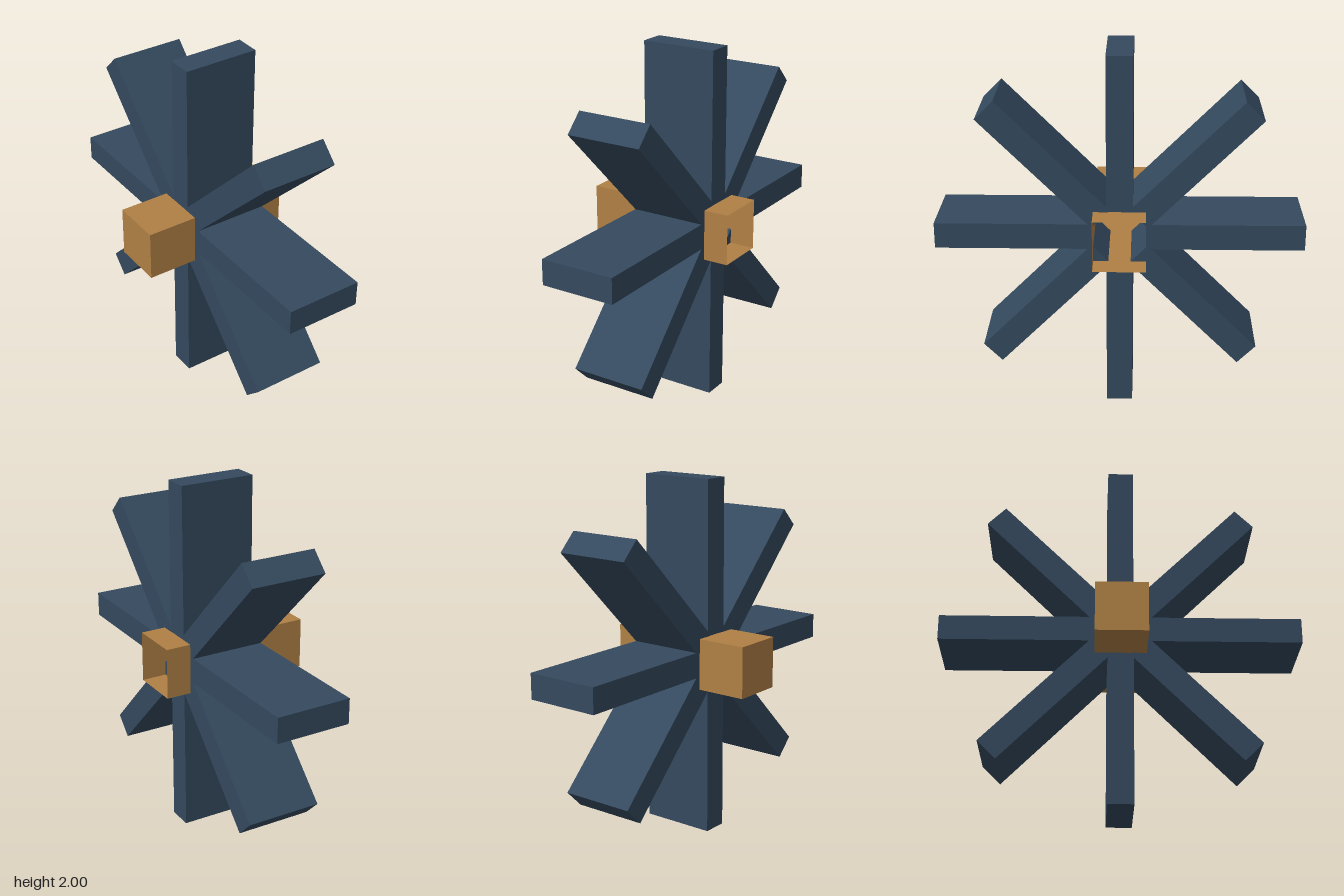
import * as THREE from 'three';

const U = 1 / 7; // module unit: paddle thickness

export function createModel() {
  const paint = new THREE.MeshStandardMaterial({ color: 0x34495e, flatShading: true });
  paint.name = 'slateBlue';
  const wood = new THREE.MeshStandardMaterial({ color: 0xb08045, side: THREE.DoubleSide, flatShading: true });
  wood.name = 'warmWood';

  const wheel = new THREE.Group();
  wheel.name = 'paddleWheel';
  wheel.position.y = 1;

  // Square hollow axle, open at its +x end (the first box face is left out)
  const axleGeo = new THREE.BoxGeometry(6 * U, 2 * U, 2 * U);
  axleGeo.setIndex(Array.from(axleGeo.index.array).slice(6));
  axleGeo.clearGroups();
  const axle = new THREE.Mesh(axleGeo, wood);
  axle.name = 'axle';
  wheel.add(axle);

  // Eight radial paddles, set off-centre along the axle
  const inner = U + 0.001;
  const paddleGeo = new THREE.BoxGeometry(3 * U, 1 - inner, U);
  paddleGeo.translate(U / 2, (1 + inner) / 2, 0);
  for (let i = 0; i < 8; i++) {
    const paddle = new THREE.Mesh(paddleGeo, paint);
    paddle.name = `paddle${i + 1}`;
    paddle.rotation.x = (i * Math.PI) / 4;
    wheel.add(paddle);
  }

  const model = new THREE.Group();
  model.name = 'model';
  model.add(wheel);
  return model;
}
